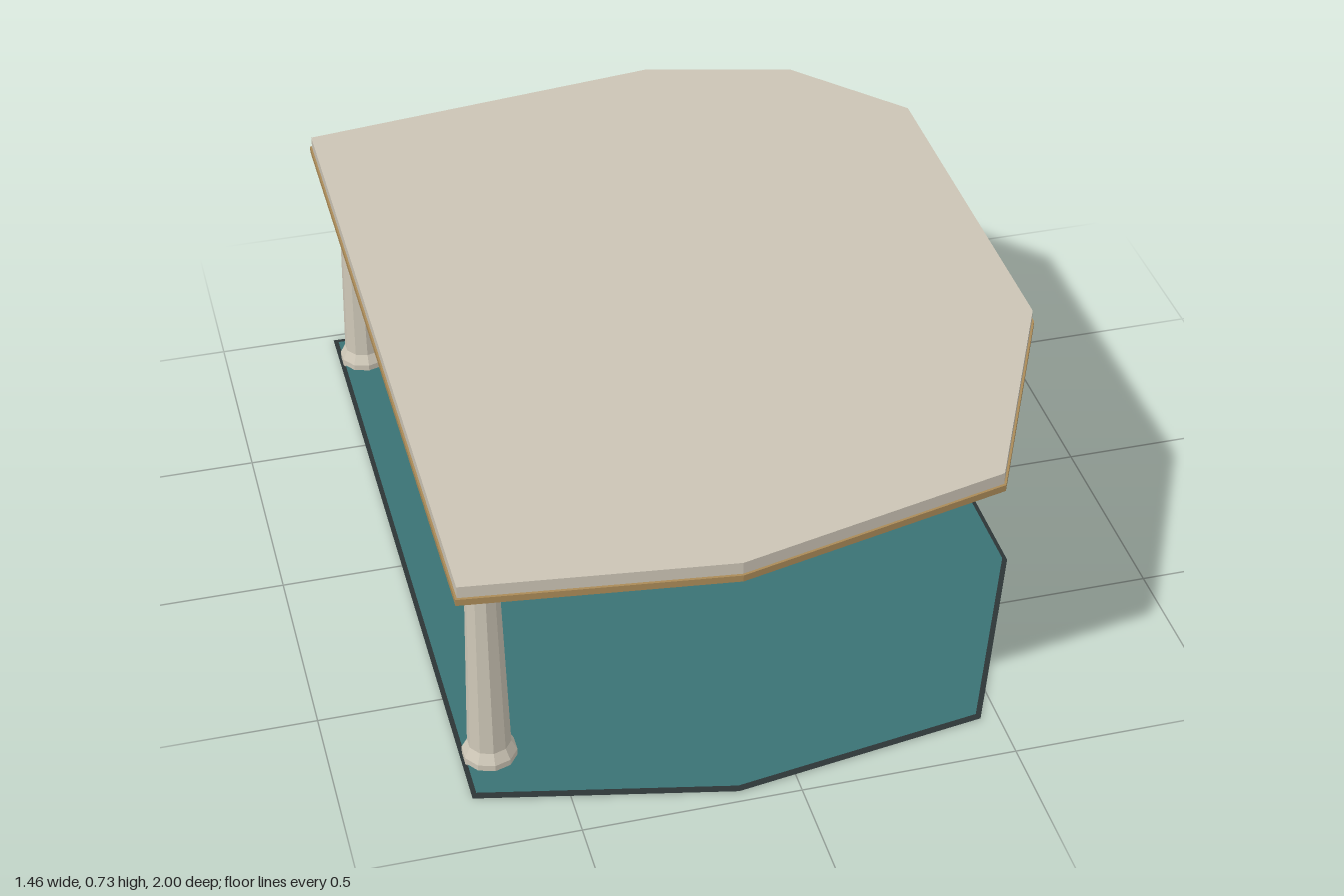
import * as THREE from 'three';

const material = (name, color, side = THREE.FrontSide) => {
  const m = new THREE.MeshStandardMaterial({ color, side });
  m.name = name;
  return m;
};

// Plan outline shared by roof and floor, as [x, z]
const OUTLINE = [[-0.73, -1], [0.15, -1], [0.5, -0.86], [0.725, -0.57],
  [0.725, 0.36], [0.47, 0.9], [-0.14, 0.995], [-0.73, 0.865]];
const SLOPE = 0.079;
const roofY = x => 0.575 + (x + 0.73) * SLOPE;

const scaled = (pts, s) => pts.map(([x, z]) => [x * s, z * s]);
const planShape = pts => new THREE.Shape(pts.map(([x, z]) => new THREE.Vector2(x, -z)));

// Flat slab from a plan outline, with an optional hole and a slope along x
function slab(pts, y0, y1, { slope = 0, hole = null } = {}) {
  const shape = planShape(pts);
  if (hole) shape.holes.push(planShape(hole));
  const g = new THREE.ExtrudeGeometry(shape, { depth: y1 - y0, bevelEnabled: false });
  g.rotateX(-Math.PI / 2).translate(0, y0, 0);
  const p = g.attributes.position;
  for (let i = 0; i < p.count; i++) p.setY(i, p.getY(i) + p.getX(i) * slope);
  g.computeVertexNormals();
  return g;
}

function sheet(pts, y) {
  return new THREE.ShapeGeometry(planShape(pts)).rotateX(-Math.PI / 2).translate(0, y, 0);
}

// Upright strip along stations [x, z, bottom, top], between two outward offsets
function strip(stations, inner, outer) {
  const rings = stations.map(([x, z, y0, y1], i) => {
    const dir = (a, b) => new THREE.Vector2(b[0] - a[0], b[1] - a[1]).normalize();
    const before = i > 0 ? dir(stations[i - 1], stations[i]) : null;
    const after = i < stations.length - 1 ? dir(stations[i], stations[i + 1]) : null;
    const t = (before || after).clone().add(after || before).normalize();
    const k = 1 / t.dot(before || after);
    const at = (d, y) => [x + t.y * d * k, y, z - t.x * d * k];
    return [at(inner, y0), at(outer, y0), at(outer, y1), at(inner, y1)];
  });
  const out = [];
  const quad = (a, b, c, d) => out.push(...a, ...b, ...c, ...a, ...c, ...d);
  for (let i = 0; i < rings.length - 1; i++) {
    for (let j = 0; j < 4; j++) {
      const k = (j + 1) % 4;
      quad(rings[i][j], rings[i][k], rings[i + 1][k], rings[i + 1][j]);
    }
  }
  quad(...rings[0].slice().reverse());
  quad(...rings[rings.length - 1]);
  const g = new THREE.BufferGeometry();
  g.setAttribute('position', new THREE.Float32BufferAttribute(out, 3));
  g.computeVertexNormals();
  return g;
}

export function createModel() {
  const model = new THREE.Group();
  model.name = 'pavilion';
  const stone = material('stone', 0xcdc6b6);
  const roofStone = material('roofStone', 0xc9c2b3);
  const tan = material('tanTrim', 0xa98957);
  const brown = material('brownPanel', 0x7c4630);
  const teal = material('tealFloor', 0x3a7274, THREE.DoubleSide);
  const tealSeat = material('tealSeat', 0x2f8282);
  const dark = material('darkBase', 0x2c3536, THREE.DoubleSide);
  const lens = material('lampLens', 0xd8d0bc);
  for (const m of [stone, roofStone, brown]) m.flatShading = true;

  const add = (name, geometry, mat, parent = model) => {
    const mesh = new THREE.Mesh(geometry, mat);
    mesh.name = name;
    parent.add(mesh);
    return mesh;
  };

  // Floor: dark base sheet with the teal surface just inside its rim
  add('floorBase', sheet(scaled(OUTLINE, 0.975), 0.002), dark);
  add('floorSurface', sheet(scaled(OUTLINE, 0.96), 0.005), teal);

  // Sloping roof with a trim band under its edge
  const base = roofY(0);
  add('roofSlab', slab(scaled(OUTLINE, 0.994), base + 0.014, base + 0.045, { slope: SLOPE }), roofStone);
  add('roofTrim', slab(OUTLINE, base, base + 0.016,
    { slope: SLOPE, hole: scaled(OUTLINE, 0.98) }), tan);
  add('ceiling', slab(scaled(OUTLINE, 0.981), base + 0.003, base + 0.013, { slope: SLOPE }), roofStone);

  // Columns: flared foot, tapered shaft, flared capital
  for (const [x, z] of [[-0.645, 0.71], [-0.645, -0.875], [0.56, -0.72]]) {
    const top = roofY(x) + 0.005;
    const profile = [[0, 0], [0.063, 0], [0.063, 0.02], [0.05, 0.045], [0.038, top - 0.065],
      [0.041, top - 0.055], [0.062, top - 0.008], [0.062, top], [0, top]];
    const g = new THREE.LatheGeometry(profile.map(p => new THREE.Vector2(...p)), 10);
    add('column', g, stone).position.set(x, 0, z);
  }

  // Ceiling lamps
  for (const [x, z] of [[0.37, 0.235], [-0.37, -0.24]]) {
    const lamp = new THREE.Group();
    lamp.name = 'ceilingLamp';
    lamp.position.set(x, roofY(x) - 0.001, z);
    add('lampRim', new THREE.CylinderGeometry(0.043, 0.043, 0.032, 16), tan, lamp);
    add('lampLens', new THREE.CylinderGeometry(0.036, 0.036, 0.004, 16), lens, lamp).position.y = -0.0155;
    model.add(lamp);
  }

  // Bench, mirrored about its own centre line
  const cx = -0.055;
  const mirrored = half => [...half.map(([x, ...r]) => [cx - x, ...r]),
    ...half.slice(0, -1).reverse().map(([x, ...r]) => [cx + x, ...r])];
  const bench = new THREE.Group();
  bench.name = 'bench';
  model.add(bench);
  const ring = o => [
    ...mirrored([[0.44 + o, -0.655 + o], [0.425 + o, -0.78], [0.295, -0.875 - o], [0, -0.918 - o]]),
    ...mirrored([[0.38 - o, -0.655 + o], [0.265, -0.745 + o], [0, -0.79 + o]]).reverse()];
  add('benchBase', slab(ring(0), 0, 0.065), stone, bench);
  add('benchSeat', slab(ring(0.008), 0.065, 0.076), tealSeat, bench);

  // Curved backrest with dipping top and tan capping
  const back = mirrored([[0.42, -0.66, 0.235], [0.42, -0.765, 0.282], [0.285, -0.88, 0.21], [0, -0.932, 0.178]]);
  add('backrest', strip(back.map(([x, z, h]) => [x, z, 0, h]), -0.02, 0), brown, bench);
  add('backrestCap', strip(back.map(([x, z, h]) => [x, z, h, h + 0.009]), -0.022, 0.002), tan, bench);

  return model;
}
